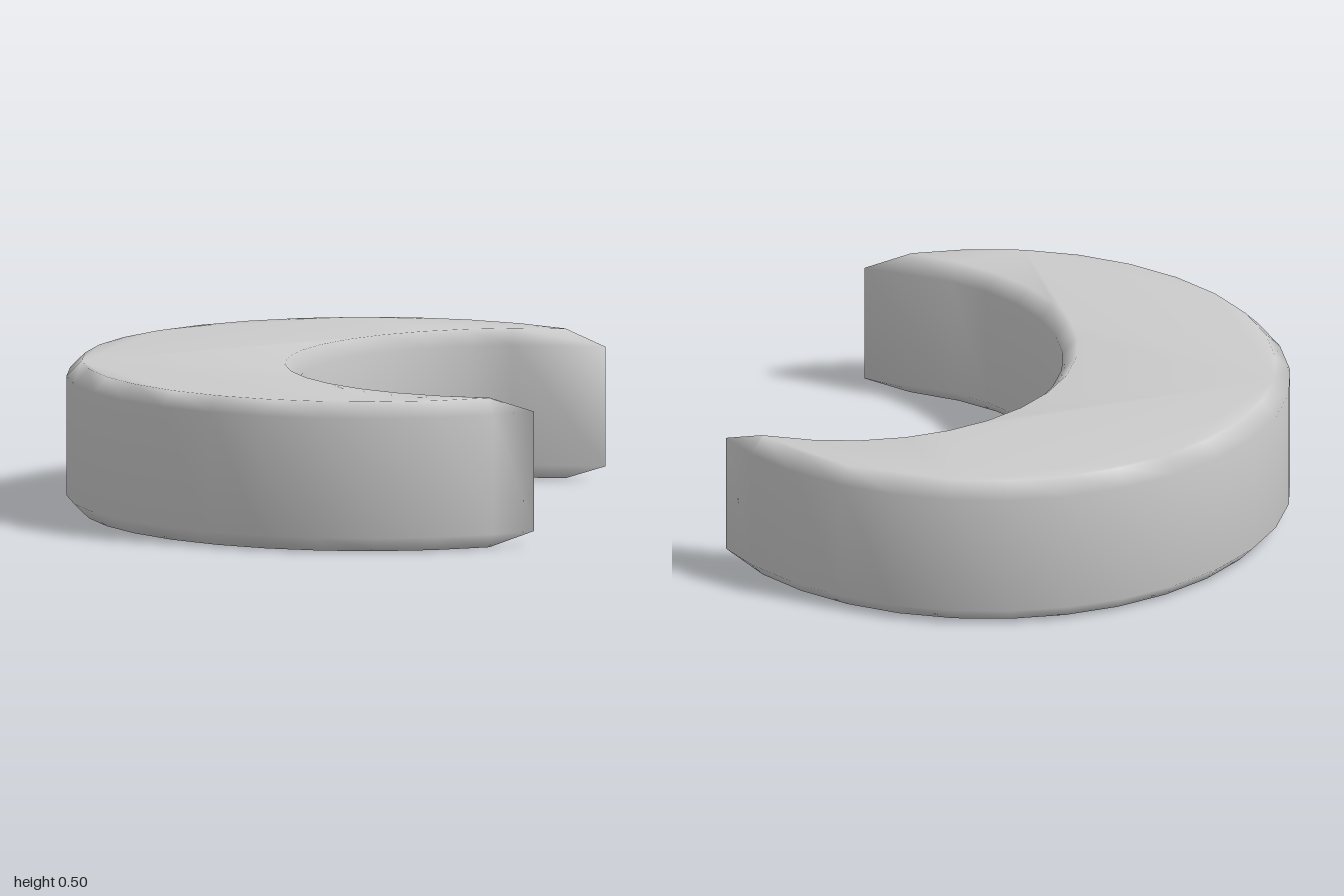
import * as THREE from 'three';

const STEP = Math.PI / 16; // both arcs are cut from 32-sided circles

// Crescent outline in (x, z): outer arc, lower tip, inner arc back, upper tip
function crescent(outerR, innerR, tipX, tipZ) {
  const pts = [new THREE.Vector2(tipX, tipZ)];
  for (let i = 5; i <= 27; i++) {
    pts.push(new THREE.Vector2(0.16 + outerR * Math.cos(i * STEP), outerR * Math.sin(i * STEP)));
  }
  pts.push(new THREE.Vector2(tipX, -tipZ));
  for (let i = 23; i >= 9; i--) {
    pts.push(new THREE.Vector2(0.67 + innerR * Math.cos(i * STEP), innerR * Math.sin(i * STEP)));
  }
  return pts;
}

export function createModel() {
  const group = new THREE.Group();
  group.name = 'crescentBlock';

  // Full outline for the walls, inset outline for the chamfered flat faces
  const wall = crescent(1, 0.73, 0.836, 0.733);
  const flat = crescent(0.95, 0.78, 0.695, 0.782);
  const rings = [[flat, 0], [wall, 0.05], [wall, 0.45], [flat, 0.5]];
  const n = wall.length;

  const positions = [];
  for (const [outline, y] of rings) {
    for (const p of outline) positions.push(p.x, y, p.y);
  }

  // Lower chamfer, wall and upper chamfer
  const index = [];
  for (let k = 0; k < rings.length - 1; k++) {
    for (let i = 0; i < n; i++) {
      const a = k * n + i;
      const b = k * n + (i + 1) % n;
      index.push(a, a + n, b + n, a, b + n, b);
    }
  }

  // Bottom and top faces
  const top = (rings.length - 1) * n;
  for (const [a, b, c] of THREE.ShapeUtils.triangulateShape(flat, [])) {
    index.push(a, b, c, top + a, top + c, top + b);
  }

  const geometry = new THREE.BufferGeometry();
  geometry.setAttribute('position', new THREE.Float32BufferAttribute(positions, 3));
  geometry.setIndex(index);
  geometry.computeVertexNormals();

  const mesh = new THREE.Mesh(geometry, new THREE.MeshStandardMaterial({ color: 0xcccccc }));
  mesh.name = 'crescent';
  group.add(mesh);
  return group;
}
